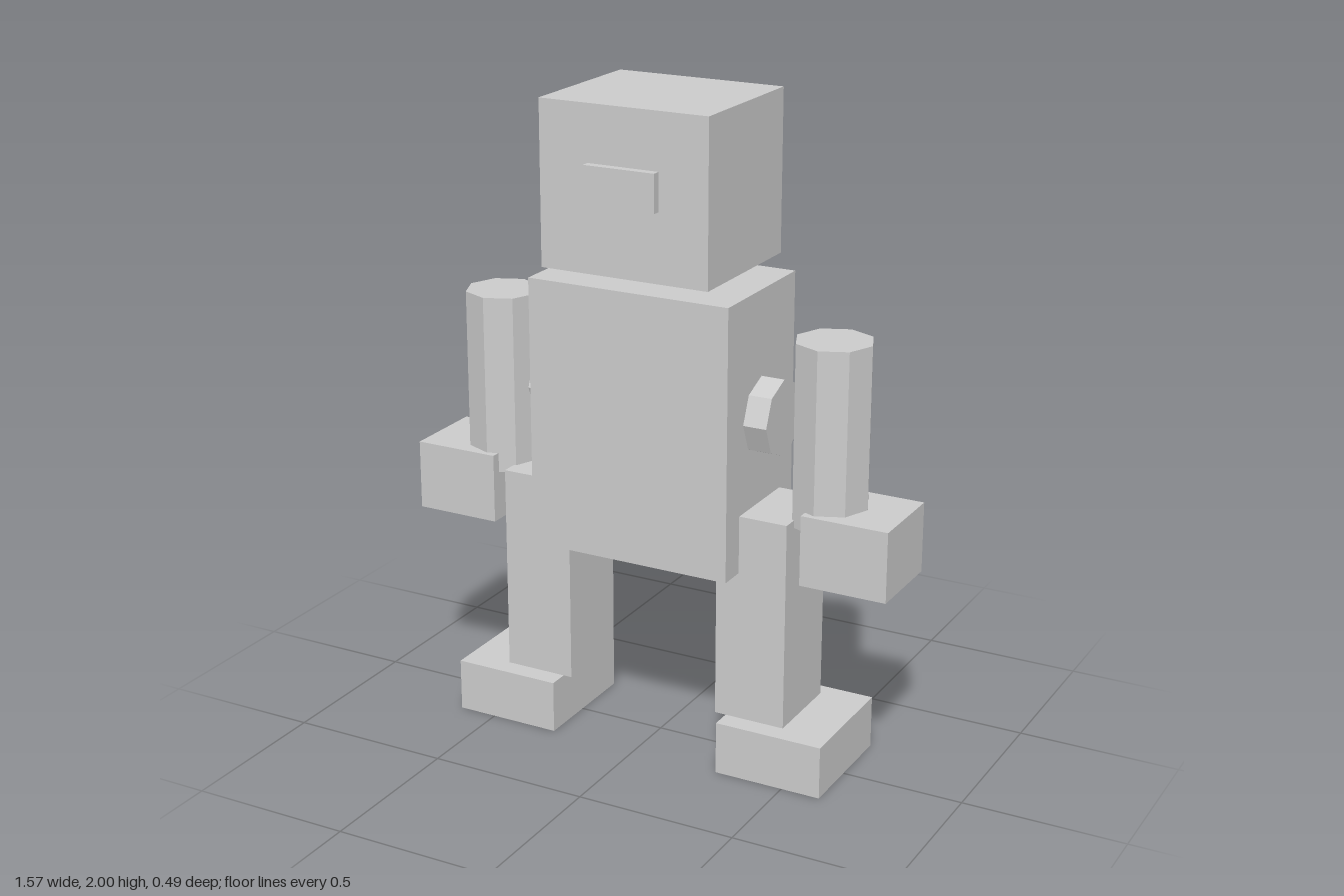
import * as THREE from 'three';

export function createModel() {
  const model = new THREE.Group();
  const material = new THREE.MeshStandardMaterial({ color: 0xcccccc, flatShading: true });

  function add(name, geometry, x, y, z) {
    const mesh = new THREE.Mesh(geometry, material);
    mesh.name = name;
    mesh.position.set(x, y, z);
    model.add(mesh);
    return mesh;
  }

  // Box given by its extents along each axis
  function box(name, [x0, x1], [y0, y1], [z0, z1]) {
    const geometry = new THREE.BoxGeometry(x1 - x0, y1 - y0, z1 - z0);
    return add(name, geometry, (x0 + x1) / 2, (y0 + y1) / 2, (z0 + z1) / 2);
  }

  // Head, nose and torso
  box('head', [-0.27, 0.267], [1.508, 2], [-0.247, 0.22]);
  box('nose', [-0.114, 0.112], [1.716, 1.83], [0.19, 0.246]);
  box('torso', [-0.326, 0.323], [0.636, 1.465], [-0.23, 0.204]);

  for (const [label, side] of [['left', 1], ['right', -1]]) {
    const span = (a, b) => (side > 0 ? [a, b] : [-b, -a]);

    // Octagonal shoulder disc, lying along x
    const shoulder = new THREE.CylinderGeometry(0.117, 0.117, 0.1, 8).rotateZ(Math.PI / 2);
    add(`${label}Shoulder`, shoulder, side * 0.346, 1.087, -0.015);

    // Octagonal arm and block hand
    add(`${label}Arm`, new THREE.CylinderGeometry(0.117, 0.117, 0.555, 8), side * 0.55, 1.068, -0.015);
    box(`${label}Hand`, span(0.517, 0.787), [0.636, 0.852], [-0.148, 0.118]);

    // Leg and foot
    box(`${label}Leg`, span(0.25, 0.475), [0.168, 0.814], [-0.147, 0.12]);
    box(`${label}Foot`, span(0.282, 0.622), [0, 0.164], [-0.203, 0.176]);
  }

  return model;
}
